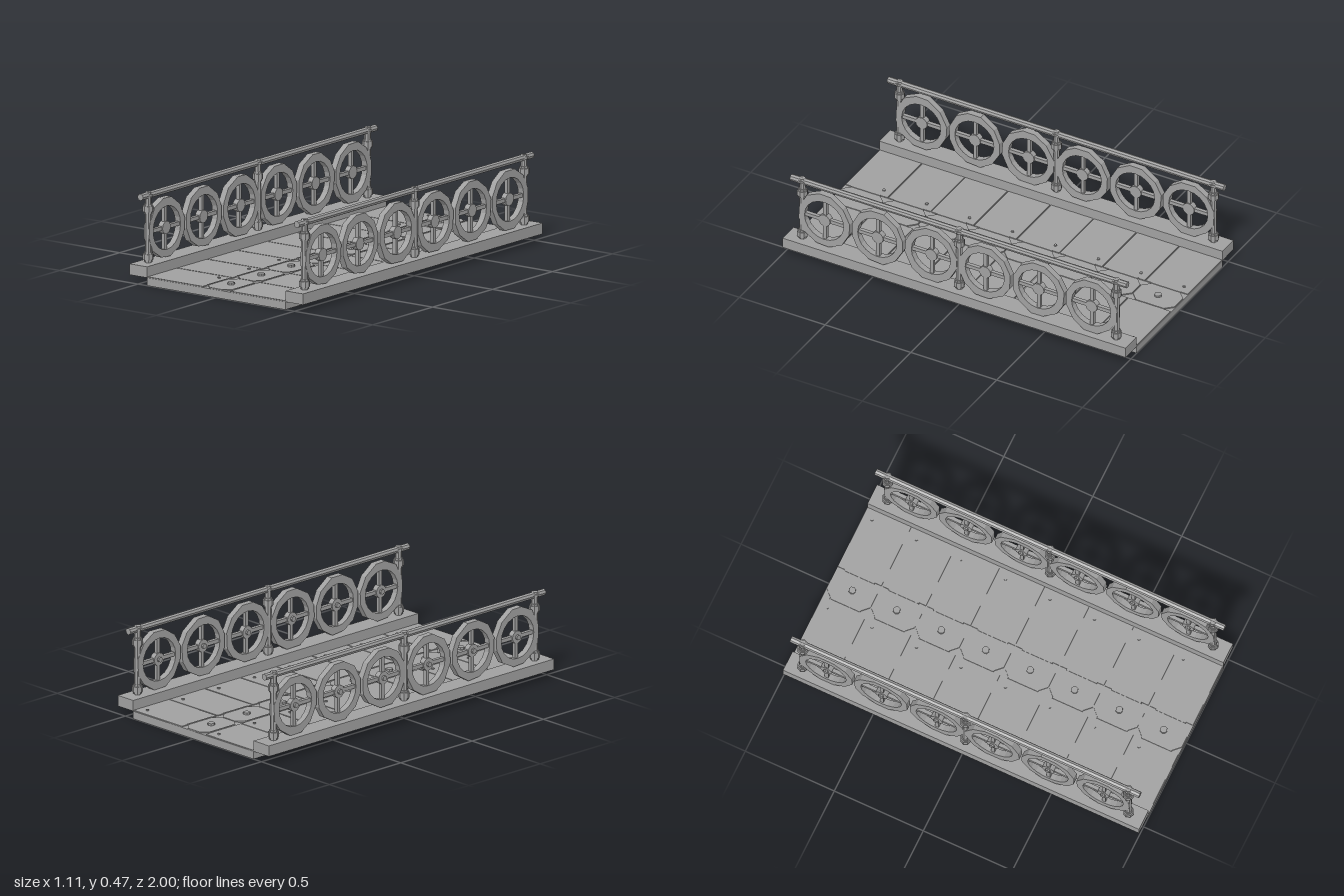
import * as THREE from 'three';

const steel = new THREE.MeshStandardMaterial({ color: 0xa0a0a0 });
steel.name = 'grey metal';

function add(parent, name, geometry, x = 0, y = 0, z = 0) {
  const m = new THREE.Mesh(geometry, steel);
  m.name = name;
  m.position.set(x, y, z);
  parent.add(m);
  return m;
}

const box = (w, h, d) => new THREE.BoxGeometry(w, h, d);

// Cylinders are faceted, like the rest of the metalwork
const cyl = (r, h, n = 8) => new THREE.CylinderGeometry(r, r, h, n).toNonIndexed();
function facet(g) { g.computeVertexNormals(); return g; }

// Seeded noise for the hammered outline of the wheels
function noise(seed) {
  let s = seed;
  return () => (s = (s * 16807) % 2147483647) / 2147483647;
}

// Irregular rim with a round opening, extruded across the railing
function rimGeometry(seed) {
  const rnd = noise(seed * 7919 + 13);
  const n = 12, shape = new THREE.Shape();
  for (let i = 0; i < n; i++) {
    const a = ((i + 0.3 + rnd() * 0.25) / n) * Math.PI * 2;
    const k = 0.975 + rnd() * 0.05;
    const px = Math.cos(a) * 0.153 * k, py = Math.sin(a) * 0.158 * k;
    if (i === 0) shape.moveTo(px, py); else shape.lineTo(px, py);
  }
  shape.closePath();
  const hole = new THREE.Path();
  hole.absarc(0, 0, 0.114, 0, Math.PI * 2, true);
  shape.holes.push(hole);
  const g = new THREE.ExtrudeGeometry(shape, { depth: 0.034, bevelEnabled: false, curveSegments: 10 });
  g.translate(0, 0, -0.017);
  g.rotateY(Math.PI / 2);
  return g;
}

function wheel(seed) {
  const g = new THREE.Group();
  g.name = 'railingWheel';
  add(g, 'wheelRim', rimGeometry(seed));
  add(g, 'wheelSpokeUpright', box(0.02, 0.232, 0.02));
  add(g, 'wheelSpokeLevel', box(0.02, 0.02, 0.232));
  add(g, 'wheelHub', facet(cyl(0.034, 0.03, 12))).rotation.z = Math.PI / 2;
  add(g, 'wheelPin', facet(cyl(0.014, 0.026)), -0.013).rotation.z = Math.PI / 2;
  return g;
}

function post() {
  const g = new THREE.Group();
  g.name = 'railingPost';
  add(g, 'postShaft', facet(cyl(0.017, 0.367)), 0, 0.2815, 0);
  for (const y of [0.128, 0.378]) {
    add(g, 'postCollar', facet(cyl(0.028, 0.03)), 0, y, 0);
    add(g, 'postCollarBand', facet(cyl(0.022, 0.05)), 0, y, 0);
  }
  add(g, 'postCap', facet(cyl(0.024, 0.012)), 0, 0.448, 0);
  return g;
}

function railing() {
  const g = new THREE.Group();
  g.name = 'railing';
  add(g, 'handrail', facet(cyl(0.018, 1.96)), 0, 0.448, 0).rotation.x = Math.PI / 2;
  for (const z of [-0.915, 0, 0.915]) {
    const p = post();
    p.position.z = z;
    g.add(p);
  }
  [0.78, 0.47, 0.157, -0.157, -0.467, -0.777].forEach((z, i) => {
    const w = wheel(i + 1);
    w.position.set(0, 0.256, z);
    g.add(w);
  });
  return g;
}

// Centre plate with clipped corners
function plateGeometry() {
  const x = 0.08, z = 0.122, c = 0.037;
  const s = new THREE.Shape([[x, z - c], [x - c, z], [c - x, z], [-x, z - c],
    [-x, c - z], [c - x, -z], [x - c, -z], [x, c - z]].map(p => new THREE.Vector2(...p)));
  const g = new THREE.ExtrudeGeometry(s, { depth: 0.006, bevelEnabled: false });
  g.rotateX(-Math.PI / 2);
  return g;
}

export function createModel() {
  const model = new THREE.Group();
  model.name = 'footbridge';

  // Deck slab and the planks laid on it
  const deck = new THREE.Group();
  deck.name = 'deck';
  model.add(deck);
  add(deck, 'deckSlab', box(0.884, 0.041, 2), 0, 0.0205, 0);
  for (let i = 0; i < 8; i++) {
    const z = 0.875 - i * 0.25;
    for (const s of [-1, 1]) {
      add(deck, 'plank', box(0.352, 0.006, 0.244), s * 0.264, 0.043, z);
      add(deck, 'edgeStrip', box(0.008, 0.01, 0.17), s * 0.084, 0.045, z);
    }
    for (const x of [-0.135, 0.39]) add(deck, 'rivet', facet(cyl(0.008, 0.01)), x, 0.047, z - 0.075);
    add(deck, 'centrePlate', plateGeometry(), 0, 0.041, z);
    add(deck, 'centreBolt', facet(cyl(0.019, 0.014)), 0, 0.051, z);
  }

  // Kerb beams and railings
  for (const s of [-1, 1]) {
    add(model, s > 0 ? 'leftKerb' : 'rightKerb', box(0.113, 0.057, 2), s * 0.4985, 0.0695, 0);
    const r = railing();
    r.position.x = s * 0.5;
    model.add(r);
  }
  return model;
}
